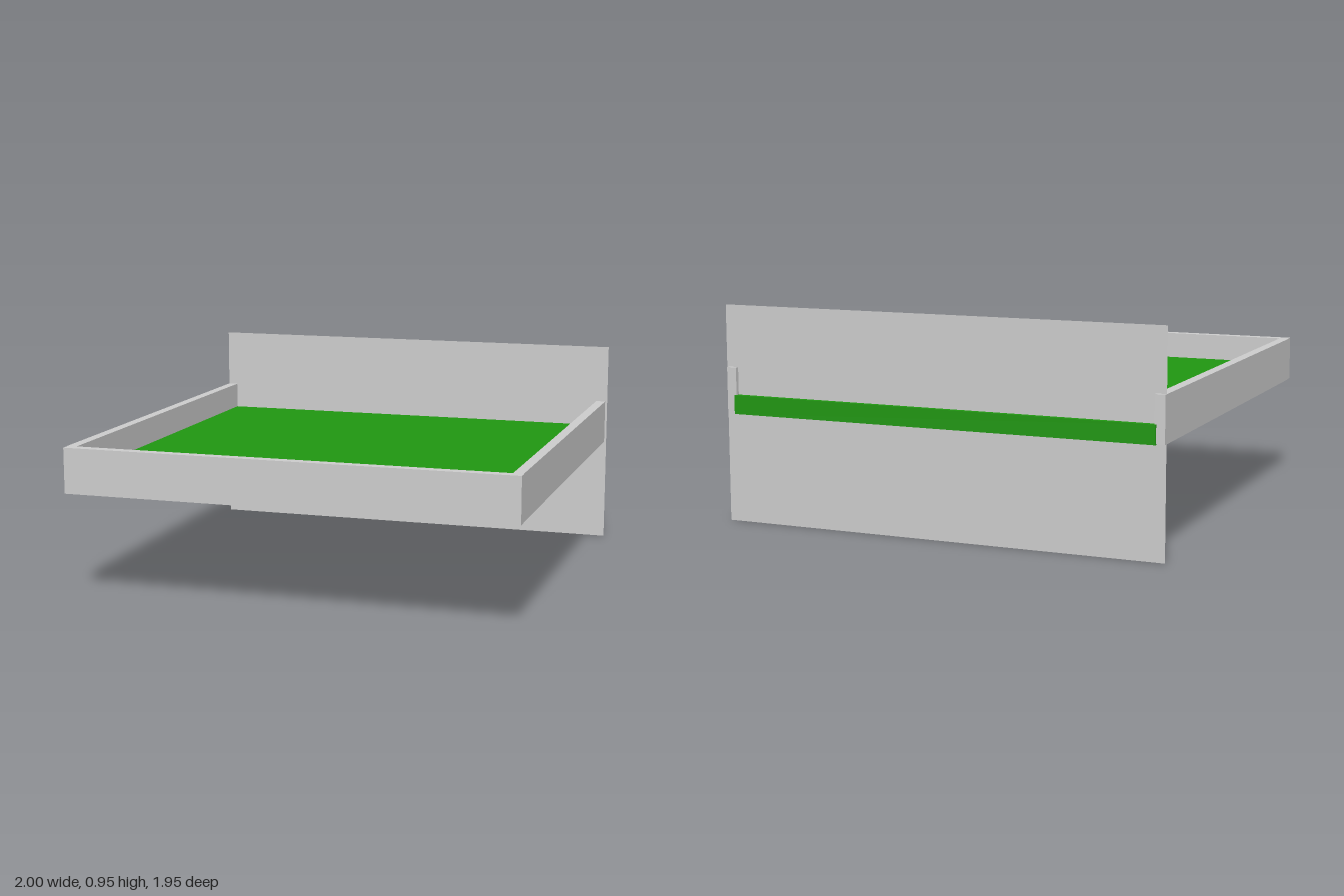
import * as THREE from 'three';

export function createModel() {
  const model = new THREE.Group();
  const grey = new THREE.MeshStandardMaterial({ color: 0xcccccc });
  const green = new THREE.MeshStandardMaterial({ color: 0x209611 });
  const sheet = new THREE.MeshStandardMaterial({ color: 0xcccccc, side: THREE.DoubleSide });

  // Box given by its two opposite corners
  function box(name, material, [x0, y0, z0], [x1, y1, z1]) {
    const mesh = new THREE.Mesh(new THREE.BoxGeometry(x1 - x0, y1 - y0, z1 - z0), material);
    mesh.position.set((x0 + x1) / 2, (y0 + y1) / 2, (z0 + z1) / 2);
    mesh.name = name;
    model.add(mesh);
  }

  // Green bed, let slightly into the rails and proud of them underneath
  box('bed', green, [-0.963, 0.478, -0.975], [0.953, 0.56, 0.94]);

  // Three rails round the bed; the front one covers the side rails' ends
  box('frontRail', grey, [-0.997, 0.48, 0.93], [0.992, 0.68, 0.975]);
  box('rightRail', grey, [-1, 0.48, -0.968], [-0.956, 0.68, 0.93]);
  box('leftRail', grey, [0.946, 0.48, -0.968], [0.99, 0.68, 0.93]);

  // Thin upright sheet through the back ends of the rails
  const panel = new THREE.Mesh(new THREE.PlaneGeometry(2, 0.95), sheet);
  panel.position.set(0, 0.475, -0.95);
  panel.name = 'backPanel';
  model.add(panel);

  return model;
}
